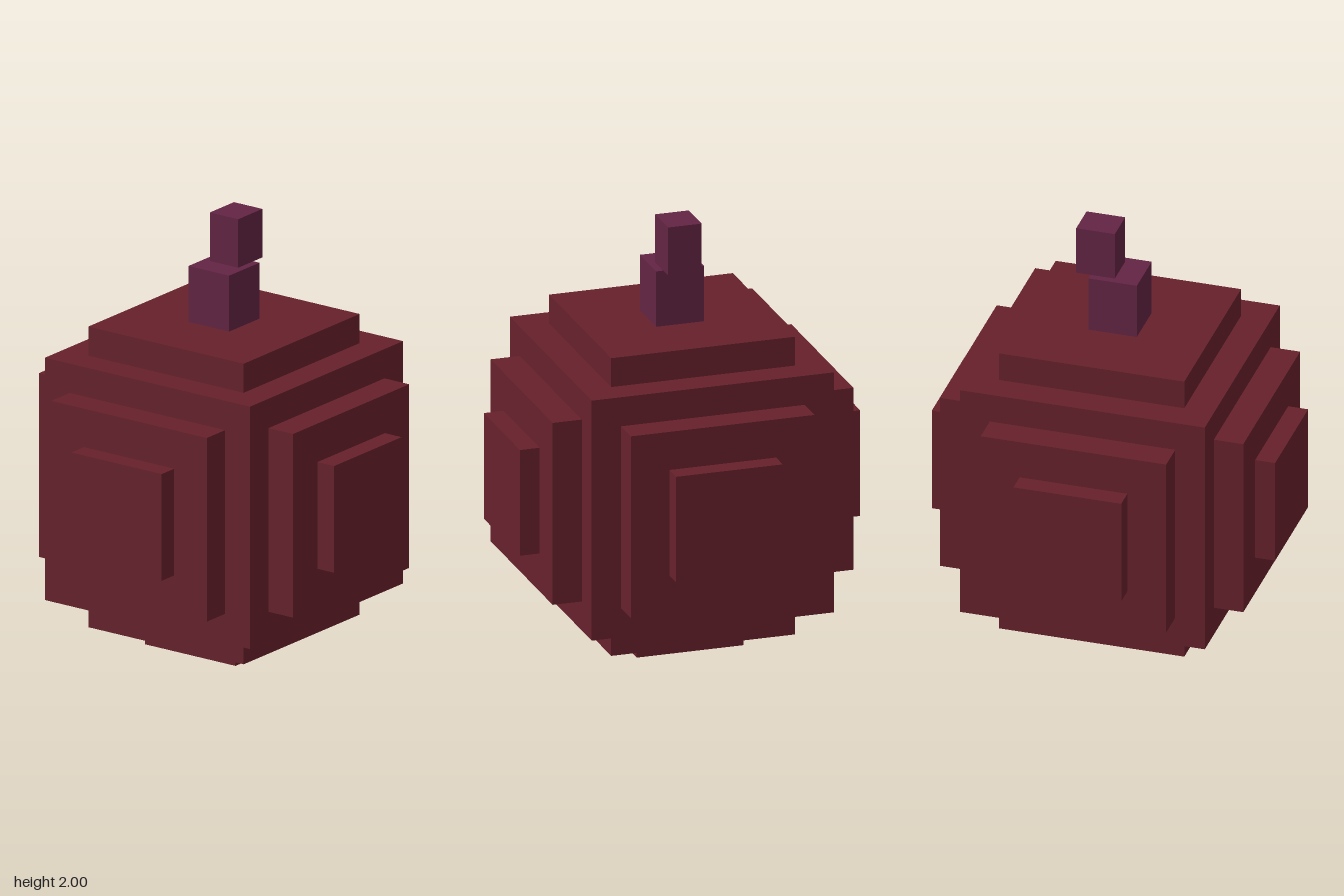
import * as THREE from 'three';

const CENTER_Y = 0.802;
const CORE = 0.57, MID = 0.707, OUTER = 0.8; // distances of the stepped faces from the centre

export function createModel() {
  const group = new THREE.Group();
  group.name = 'blockFruit';

  const skin = new THREE.MeshStandardMaterial({ color: 0x66212b });
  skin.name = 'dark red skin';
  const stem = new THREE.MeshStandardMaterial({ color: 0x622443 });
  stem.name = 'plum stem';

  function box(parent, name, material, size, position) {
    const mesh = new THREE.Mesh(new THREE.BoxGeometry(...size), material);
    mesh.name = name;
    mesh.position.set(...position);
    parent.add(mesh);
  }

  // Body: a cube with stepped slabs on its faces
  const body = new THREE.Group();
  body.name = 'body';
  body.position.y = CENTER_Y;
  group.add(body);
  box(body, 'core', skin, [CORE * 2, CORE * 2, CORE * 2], [0, 0, 0]);

  // Square slab lying on one face, between two distances from the centre
  function slab(name, axis, sign, half, from, to) {
    const size = [half * 2, half * 2, half * 2];
    const position = [0, 0, 0];
    size[axis] = to - from;
    position[axis] = sign * (from + to) / 2;
    box(body, name, skin, size, position);
  }

  const faces = [
    ['left', 0, 1], ['right', 0, -1],
    ['top', 1, 1], ['bottom', 1, -1],
    ['front', 2, 1], ['back', 2, -1],
  ];
  for (const [side, axis, sign] of faces) {
    slab(side + 'Slab', axis, sign, 0.432, CORE, MID);
    // The top carries the stem in place of the small outer slab
    if (side !== 'top') slab(side + 'OuterSlab', axis, sign, 0.251, MID, OUTER);
  }

  // Stem: two blocks, the upper one shifted to the left
  box(group, 'lowerStem', stem, [0.226, 0.263, 0.226], [0, 1.6405, 0]);
  box(group, 'upperStem', stem, [0.18, 0.228, 0.158], [0.09, 1.886, 0]);

  return group;
}
